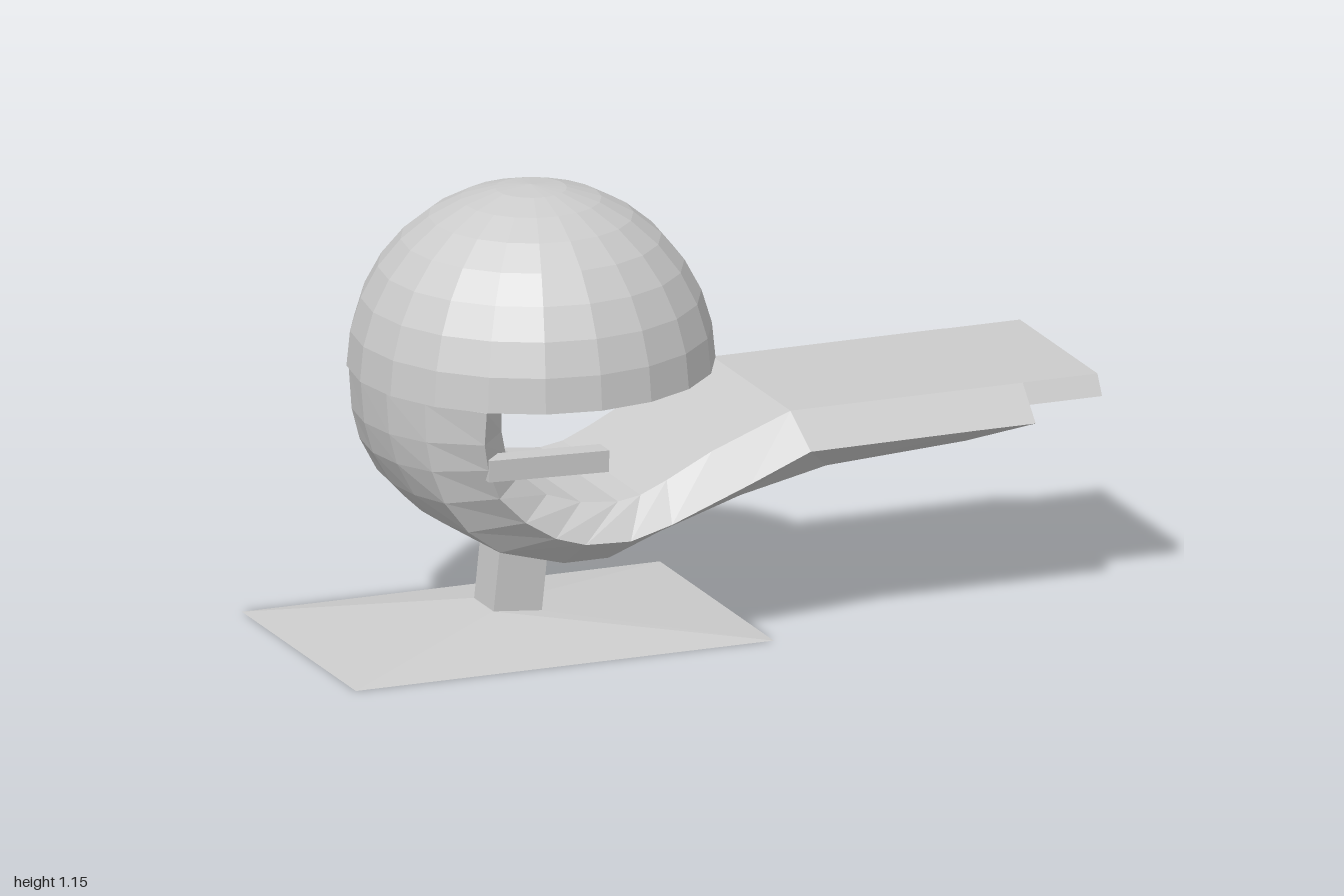
import * as THREE from 'three';

const material = new THREE.MeshStandardMaterial({ color: 0xcccccc, flatShading: true, side: THREE.DoubleSide });

function part(name, geometry) {
  const mesh = new THREE.Mesh(geometry, material);
  mesh.name = name;
  return mesh;
}

// Skin a row of equal-length closed rings of [x, y, z] points, with capped ends
function loft(rings) {
  const n = rings[0].length, last = rings.length - 1;
  const index = [];
  for (let i = 0; i < last; i++) {
    for (let j = 0; j < n; j++) {
      const a = i * n + j, b = i * n + (j + 1) % n;
      index.push(a, a + n, b + n, a, b + n, b);
    }
  }
  for (let j = 1; j < n - 1; j++) {
    index.push(0, j, j + 1, last * n, last * n + j + 1, last * n + j);
  }
  const geometry = new THREE.BufferGeometry();
  geometry.setAttribute('position', new THREE.Float32BufferAttribute(rings.flat(2), 3));
  geometry.setIndex(index);
  const flat = geometry.toNonIndexed();
  flat.computeVertexNormals();
  return flat;
}

// Horizontal rectangle; yLeft and yRight let it tilt along x
const rect = (x0, x1, z0, z1, yLeft, yRight = yLeft) =>
  [[x0, yLeft, z0], [x1, yRight, z0], [x1, yRight, z1], [x0, yLeft, z1]];

// Seat section: flat top, wide middle edge, underside that rounds by "sag"
function seatRing([tx, ty, mx, my, bx, by, sag = 0, topHalf = 0.25, midHalf = 0.333]) {
  const under = [-0.24, -0.12, 0, 0.12, 0.24].map((z) => {
    const k = sag * (z / 0.24) ** 2;
    return [bx + (mx - bx) * k, by + (my - by) * k, z];
  });
  return [[tx, ty, topHalf], [tx, ty, -topHalf], [mx, my, -midHalf], ...under, [mx, my, midHalf]];
}

export function createModel() {
  const group = new THREE.Group();

  // Hollow domed canopy
  const profile = [], rings = 8;
  for (let i = 0; i <= rings; i++) {
    const a = (1 - i / rings) * Math.PI / 2;
    profile.push(new THREE.Vector2(Math.cos(a) * 0.37, Math.sin(a) * 0.37));
  }
  for (let i = 0; i <= rings; i++) {
    const a = (i / rings) * Math.PI / 2;
    profile.push(new THREE.Vector2(Math.cos(a) * 0.456, Math.sin(a) * 0.456));
  }
  const canopy = part('canopy', new THREE.LatheGeometry(profile, 20));
  canopy.position.set(-0.408, 0.696, 0);
  group.add(canopy);

  // Reclined seat, from the top of the back to the leg rest:
  // top x, y / middle x, y / bottom x, y / sag, top half width, middle half width
  const stations = [
    [-0.6, 0.696, -0.68, 0.696, -0.862, 0.696, 0.39, 0.27, 0.37],
    [-0.595, 0.61, -0.68, 0.61, -0.853, 0.59, 0.38, 0.26, 0.357],
    [-0.58, 0.55, -0.665, 0.54, -0.83, 0.51, 0.35, 0.25, 0.345],
    [-0.54, 0.49, -0.63, 0.46, -0.78, 0.425, 0.28],
    [-0.47, 0.43, -0.56, 0.39, -0.7, 0.345, 0.18],
    [-0.38, 0.4, -0.48, 0.34, -0.6, 0.287, 0.08],
    [-0.28, 0.39, -0.4, 0.315, -0.42, 0.245],
    [-0.22, 0.4, -0.28, 0.31, -0.3, 0.245],
    [-0.15, 0.43, -0.17, 0.34, -0.17, 0.295],
    [-0.03, 0.49, 0.04, 0.42, 0.05, 0.365],
    [0.18, 0.57, 0.2, 0.485, 0.28, 0.415],
    [0.65, 0.57, 0.65, 0.488, 0.65, 0.435],
    [0.8, 0.57, 0.8, 0.488, 0.8, 0.487],
  ];
  group.add(part('seat', loft(stations.map(seatRing))));

  // Thin foot rest beyond the leg rest
  const footRing = (x) => [[x, 0.57, 0.248], [x, 0.57, -0.248], [x, 0.52, -0.278], [x, 0.52, 0.278]];
  group.add(part('footRest', loft([footRing(0.79), footRing(1)])));

  // Armrests
  for (const side of [1, -1]) {
    const arm = part(side > 0 ? 'leftArmrest' : 'rightArmrest', new THREE.BoxGeometry(0.32, 0.055, 0.06));
    arm.position.set(-0.505, 0.534, side * 0.32);
    arm.rotation.z = -0.03;
    group.add(arm);
  }

  // Leaning post
  group.add(part('post', loft([
    rect(-0.51, -0.38, -0.125, 0, 0.04),
    rect(-0.483, -0.353, -0.125, 0, 0.3),
  ])));

  // Low pyramid base
  group.add(part('base', loft([
    rect(-1, 0.115, -0.43, 0.3, 0),
    rect(-0.51, -0.38, -0.125, 0, 0.064, 0.052),
  ])));

  return group;
}
